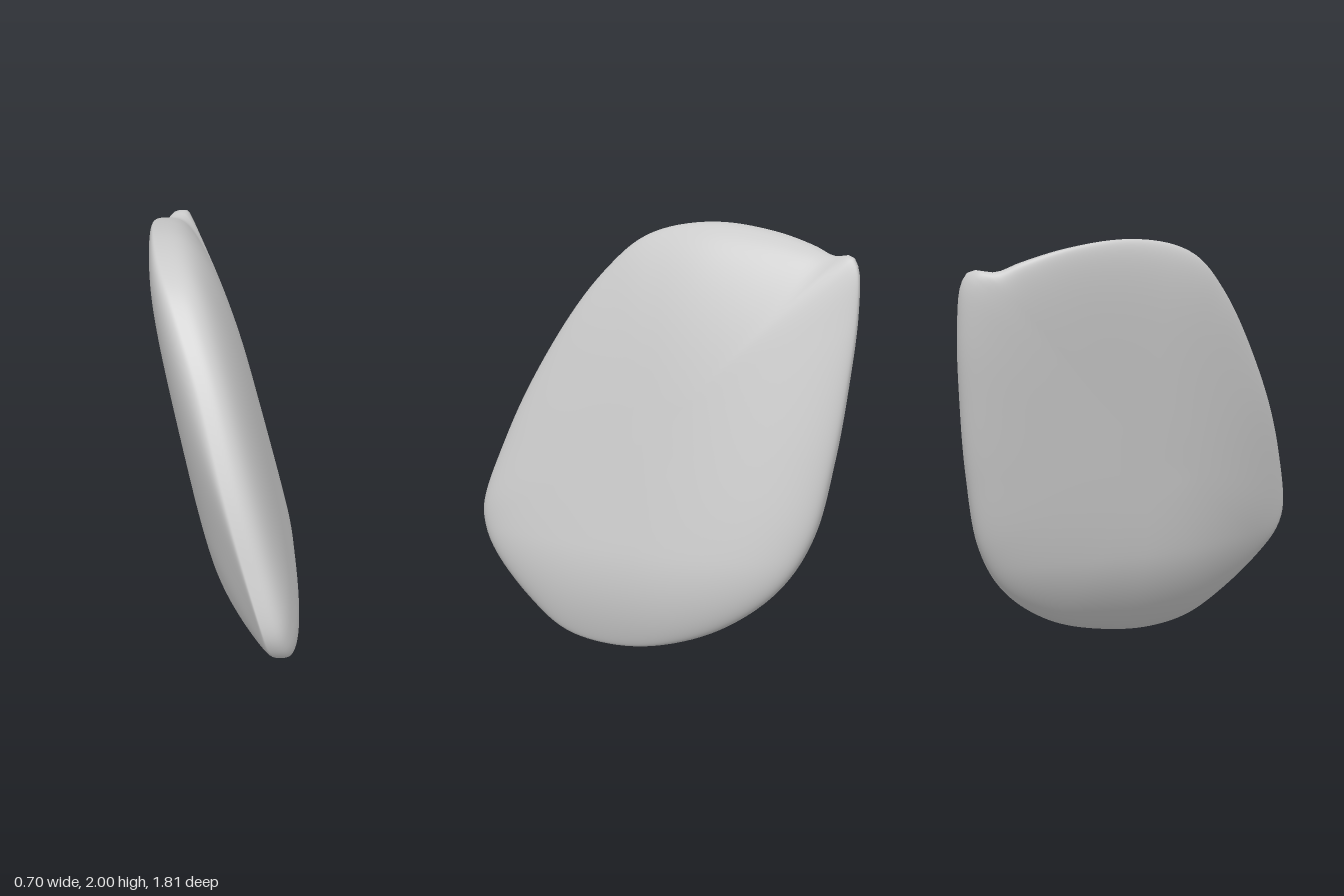
import * as THREE from 'three';
import { mergeVertices } from 'three/addons/utils/BufferGeometryUtils.js';

// Rim of the slab as x, y, z: front tip, bottom, back, top corner, top
const RIM = [
  [0.14, 0.6, 0.905], [0.17, 0.48, 0.88], [0.21, 0.36, 0.8], [0.26, 0.17, 0.6], [0.29, 0.04, 0.4],
  [0.29, 0, 0.17], [0.27, 0.03, -0.1], [0.19, 0.14, -0.4], [0.1, 0.34, -0.65], [0.03, 0.58, -0.78],
  [-0.04, 0.95, -0.85], [-0.1, 1.3, -0.885], [-0.15, 1.6, -0.9], [-0.18, 1.81, -0.885],
  [-0.2, 1.865, -0.85], [-0.26, 1.86, -0.75], [-0.3, 1.9, -0.65], [-0.33, 1.96, -0.45],
  [-0.32, 2, -0.18], [-0.29, 1.98, 0.05], [-0.25, 1.92, 0.2], [-0.19, 1.78, 0.35],
  [-0.12, 1.58, 0.5], [-0.03, 1.22, 0.7], [0.05, 0.92, 0.82],
];
const AROUND = 160, RINGS = 72;

// Leaning broad faces, which draw together at the bottom, front and back
function faceX(side, y, z) {
  const low = 0.5 * Math.max(0, 0.5 - y) ** 2;
  return side < 0
    ? -0.2 - 0.18 * (y - 1) + 0.28 * Math.max(0, z) ** 2 + low
    : 0.2 - 0.25 * (y - 1) - 0.18 * Math.max(0, -z) ** 2 - low;
}

function slabGeometry() {
  const curve = new THREE.CatmullRomCurve3(RIM.map(p => new THREE.Vector3(...p)), true);
  const rim = curve.getSpacedPoints(AROUND).slice(0, AROUND);
  const positions = [], index = [];

  // Rings run from the middle of one face, over the rim, to the middle of the other
  for (let j = 0; j <= RINGS; j++) {
    const phi = (j / RINGS - 0.5) * Math.PI;
    const side = Math.sign(phi);
    const s = j % RINGS ? Math.sqrt(Math.cos(phi)) : 0;
    // The left face meets the rim with a squarer shoulder
    const k = j % RINGS ? Math.abs(Math.sin(phi)) ** (side < 0 ? 0.8 : 0.57) : 1;
    for (const p of rim) {
      const y = 1 + (p.y - 1) * s, z = p.z * s;
      positions.push(THREE.MathUtils.lerp(p.x, faceX(side, y, z), k), y, z);
    }
  }
  // Two triangles per cell, one at the face centres
  for (let j = 0; j < RINGS; j++) {
    for (let i = 0; i < AROUND; i++) {
      const a = j * AROUND + i, b = j * AROUND + (i + 1) % AROUND;
      const c = b + AROUND, d = a + AROUND;
      if (j > 0) index.push(a, b, c);
      if (j < RINGS - 1) index.push(a, c, d);
    }
  }
  // The first band keeps only a-c-d and the last only a-b-c, closing each centre
  const geometry = new THREE.BufferGeometry();
  geometry.setAttribute('position', new THREE.Float32BufferAttribute(positions, 3));
  geometry.setIndex(index);
  const merged = mergeVertices(geometry, 1e-5);
  merged.computeVertexNormals();
  return merged;
}

export function createModel() {
  const group = new THREE.Group();
  group.name = 'stone';
  const slab = new THREE.Mesh(slabGeometry(), new THREE.MeshStandardMaterial({ color: 0xcccccc }));
  slab.name = 'stoneSlab';
  group.add(slab);
  return group;
}
